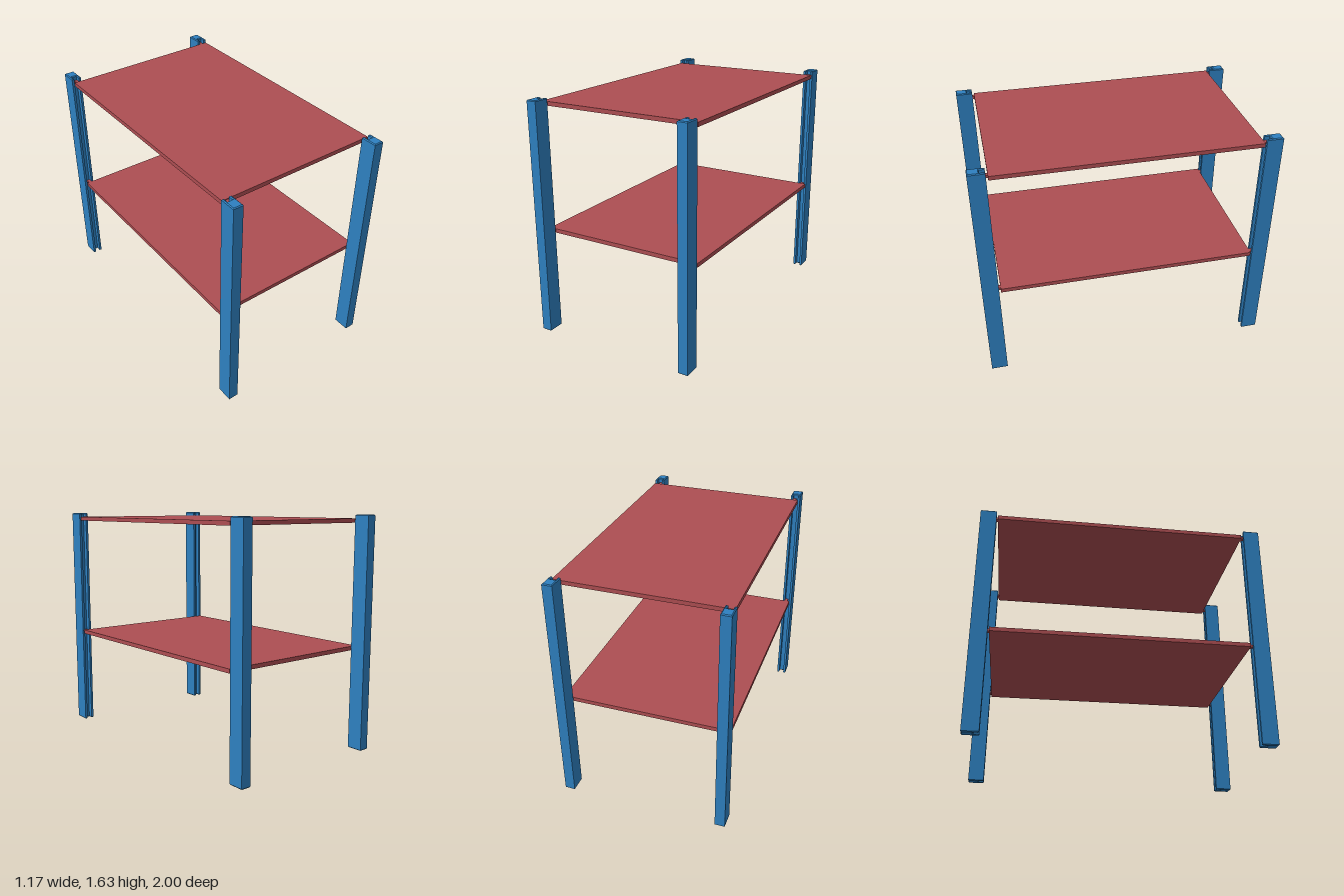
import * as THREE from 'three';

export function createModel() {
  const model = new THREE.Group();
  model.name = 'twoTierTable';
  const blue = new THREE.MeshStandardMaterial({ name: 'blue post', color: 0x2e80c0 });
  const red = new THREE.MeshStandardMaterial({ name: 'red shelf', color: 0xad4e52 });

  // Grooved post: a U-shaped section, extruded upright with softened edges
  const HEIGHT = 1.63, HW = 0.035, HD = 0.056, SLOT = 0.018, DEPTH = 0.036, BEVEL = 0.006;
  const section = new THREE.Shape([
    [-HW, -HD], [HW, -HD], [HW, HD], [SLOT, HD], [SLOT, HD - DEPTH],
    [-SLOT, HD - DEPTH], [-SLOT, HD], [-HW, HD],
  ].map(([x, y]) => new THREE.Vector2(x, y)));
  const postGeometry = new THREE.ExtrudeGeometry(section, {
    depth: HEIGHT - 2 * BEVEL, bevelEnabled: true, bevelThickness: BEVEL,
    bevelSize: BEVEL, bevelOffset: -BEVEL, bevelSegments: 1,
  });
  postGeometry.translate(0, 0, BEVEL);
  postGeometry.rotateX(-Math.PI / 2);

  for (const side of [-1, 1]) {
    for (const end of [-1, 1]) {
      const post = new THREE.Mesh(postGeometry, blue);
      post.name = (end > 0 ? 'front' : 'back') + (side > 0 ? 'Left' : 'Right') + 'Post';
      post.position.set(side * 0.551, 0, end * 0.944);
      if (end < 0) post.rotation.y = Math.PI; // grooves face inward
      model.add(post);
    }
  }

  // Shelves, each with four corner tabs that slide into the post grooves
  for (const [name, y] of [['lowerShelf', 0.712], ['upperShelf', 1.589]]) {
    const shelf = new THREE.Group();
    shelf.name = name;
    shelf.position.y = y;
    const board = new THREE.Mesh(new THREE.BoxGeometry(1.155, 0.028, 1.754), red);
    board.name = 'board';
    board.position.set(0.006, 0, -0.002);
    shelf.add(board);
    for (const side of [-1, 1]) {
      for (const end of [-1, 1]) {
        const tab = new THREE.Mesh(new THREE.BoxGeometry(0.03, 0.018, 0.05), red);
        tab.name = 'tab';
        tab.position.set(side * 0.543 + 0.003, 0, end * 0.895);
        shelf.add(tab);
      }
    }
    model.add(shelf);
  }
  return model;
}
